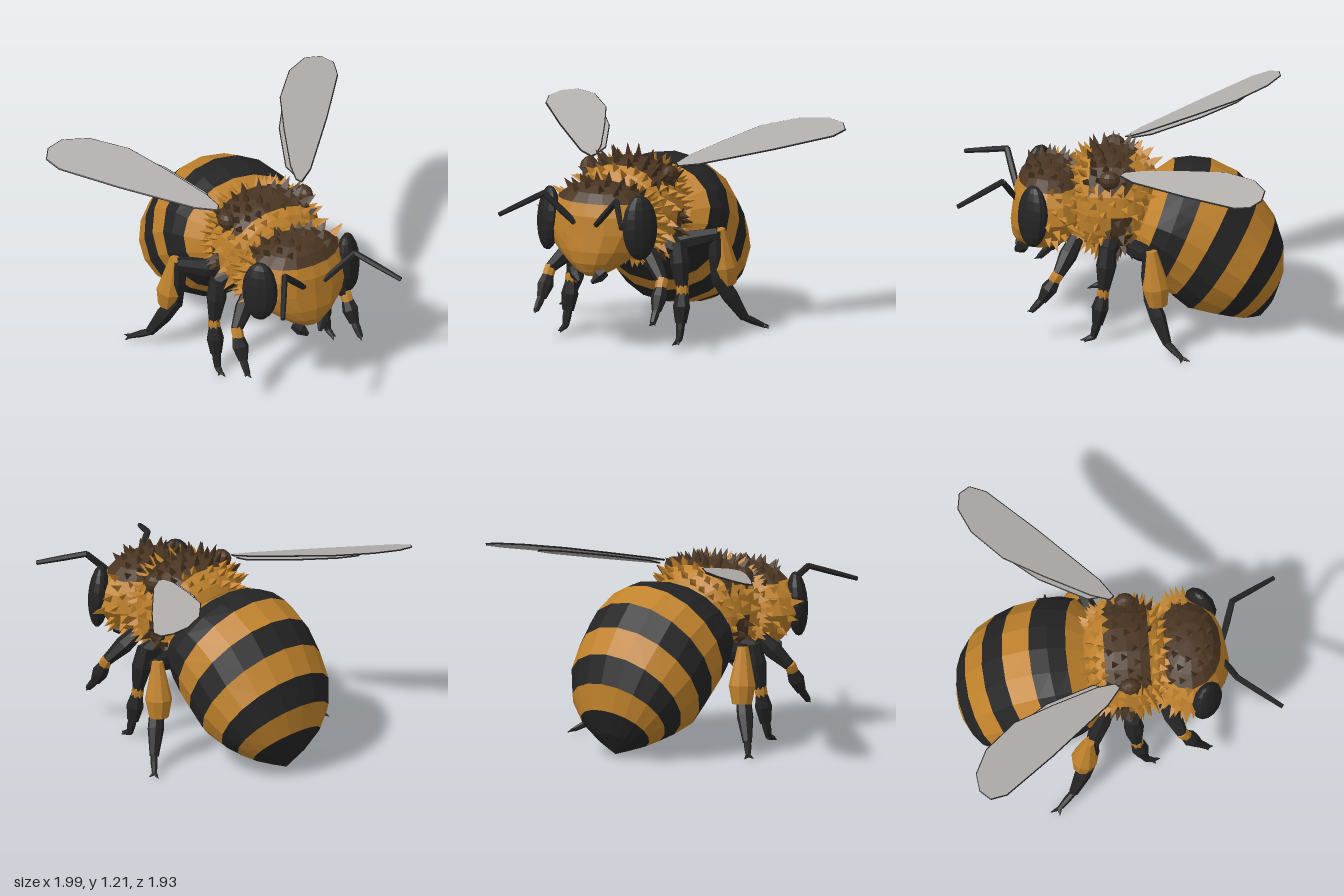
import * as THREE from 'three';
import { mergeGeometries } from 'three/addons/utils/BufferGeometryUtils.js';

const V = (x, y, z) => new THREE.Vector3(x, y, z);
const paint = (name, color) => {
  const m = new THREE.MeshStandardMaterial({ color, flatShading: true });
  m.name = name;
  return m;
};

export function createModel() {
  const gold = paint('gold', 0xc0822c);
  const black = paint('black', 0x242424);
  const brown = paint('brown', 0x4a3522);
  const grey = paint('wing grey', 0xb2aeac);
  const bee = new THREE.Group();
  bee.name = 'bee';

  const add = (name, geo, mat, parent = bee) => {
    const m = new THREE.Mesh(geo, mat);
    m.name = name;
    parent.add(m);
    return m;
  };
  const fromTriangles = (points) => {
    const g = new THREE.BufferGeometry().setFromPoints(points);
    g.computeVertexNormals();
    return g;
  };

  // Tapered limb from a to b: radii at start, bulge and end
  const limb = (a, b, r0, rm, r1, sides = 7, bulge = 0.45) => {
    const len = a.distanceTo(b);
    const pts = [[0, 0], [r0, 0], [rm, bulge], [r1, 1], [0, 1]].map(([r, t]) => new THREE.Vector2(r, t * len));
    const g = new THREE.LatheGeometry(pts, sides);
    g.applyQuaternion(new THREE.Quaternion().setFromUnitVectors(V(0, 1, 0), b.clone().sub(a).normalize()));
    return g.translate(a.x, a.y, a.z);
  };

  // Abdomen: tilted rings [top z, top y, bottom z, bottom y, half width]
  const rings = [
    [-0.12, 0.74, -0.06, 0.56, 0.12],
    [-0.20, 0.92, -0.07, 0.50, 0.31],
    [-0.31, 0.99, -0.11, 0.43, 0.40],
    [-0.42, 1.01, -0.165, 0.35, 0.43],
    [-0.53, 1.00, -0.22, 0.27, 0.44],
    [-0.69, 0.92, -0.29, 0.195, 0.44],
    [-0.81, 0.79, -0.39, 0.11, 0.43],
    [-0.91, 0.64, -0.54, 0.075, 0.395],
    [-0.962, 0.47, -0.63, 0.06, 0.33],
    [-0.96, 0.31, -0.70, 0.045, 0.24],
    [-0.91, 0.16, -0.77, 0.035, 0.12],
    [-0.825, 0.025, -0.825, 0.025, 0],
  ];
  const ringPoint = ([tz, ty, bz, by, w], k, n) => {
    const t = (k / n) * Math.PI * 2, c = Math.cos(t) / 2;
    return V(Math.sin(t) * w, (ty + by) / 2 + c * (ty - by), (tz + bz) / 2 + c * (tz - bz));
  };
  const band = (from, to) => {
    const pts = [], n = 18;
    for (let i = from; i < to; i++) for (let k = 0; k < n; k++) {
      const a = ringPoint(rings[i], k, n), b = ringPoint(rings[i], k + 1, n);
      const c = ringPoint(rings[i + 1], k, n), d = ringPoint(rings[i + 1], k + 1, n);
      pts.push(a, b, c, b, d, c);
    }
    return fromTriangles(pts);
  };
  const abdomen = new THREE.Group();
  abdomen.name = 'abdomen';
  bee.add(abdomen);
  [0, 2, 4, 5, 6, 7, 8, 9, 11].forEach((from, i, list) => {
    if (i < list.length - 1) add('abdomenStripe', band(from, list[i + 1]), i % 2 ? black : gold, abdomen);
  });

  // Round bodies: a direction is mapped to a surface point, faces are coloured by position
  const boxy = (v) => Math.sign(v) * Math.abs(v) ** 0.83;
  const headPoint = (d) => {
    const low = Math.max(0, -d.y), high = Math.max(0, d.y);
    const width = (0.365 - 0.09 * Math.max(0, d.z)) * (1 - 0.62 * low - 0.15 * high);
    return V(boxy(d.x) * width, 0.73 + boxy(d.y) * 0.28, 0.43 + boxy(d.z) * 0.222 + 0.07 * low);
  };
  const thoraxPoint = (d) => V(boxy(d.x) * 0.32, 0.78 + boxy(d.y) * 0.305, 0.05 + boxy(d.z) * 0.27);
  const headBrown = (p) => p.y > 0.91 && Math.abs(p.x) < 0.26;
  const thoraxBrown = (p) => (p.y > 0.95 && p.z > -0.07 && p.z < 0.2) || (p.y < 0.78 && Math.abs(p.z) < 0.065);

  const roundBody = (name, surface, isBrown, wide, high, alongZ) => {
    const base = new THREE.SphereGeometry(1, wide, high);
    if (alongZ) base.rotateX(Math.PI / 2);
    const pos = base.toNonIndexed().attributes.position;
    const parts = [[], []];
    for (let i = 0; i < pos.count; i += 3) {
      const tri = [0, 1, 2].map((k) => surface(V().fromBufferAttribute(pos, i + k)));
      const mid = tri[0].clone().add(tri[1]).add(tri[2]).divideScalar(3);
      parts[isBrown(mid) ? 1 : 0].push(...tri);
    }
    add(name, fromTriangles(parts[0]), gold);
    add(name + 'Patch', fromTriangles(parts[1]), brown);
  };
  roundBody('head', headPoint, headBrown, 16, 10, false);
  roundBody('thorax', thoraxPoint, thoraxBrown, 18, 14, true);

  // Spiky fur spread evenly over a surface
  const fur = (name, surface, isBrown, count, size, keep) => {
    const sets = [[], []];
    for (let i = 0; i < count; i++) {
      const y = 1 - (2 * i + 1) / count, r = Math.sqrt(1 - y * y), t = i * 2.39996;
      const d = V(r * Math.cos(t), y, r * Math.sin(t));
      const p = surface(d);
      if (!keep(p)) continue;
      const h = size * (0.85 + 0.3 * ((i * 7) % 5) / 4);
      const g = new THREE.ConeGeometry(0.027, h, 3, 1, true);
      g.translate(0, h * 0.42, 0);
      g.applyQuaternion(new THREE.Quaternion().setFromUnitVectors(V(0, 1, 0), d));
      sets[isBrown(p) ? 1 : 0].push(g.translate(p.x, p.y, p.z));
    }
    sets.forEach((s, i) => s.length && add(name, mergeGeometries(s), i ? brown : gold));
  };
  fur('thoraxFur', thoraxPoint, thoraxBrown, 230, 0.07, (p) => p.z > -0.18);
  fur('headSideFur', headPoint, headBrown, 180, 0.085, (p) => p.z < 0.43 && p.y > 0.55 && !headBrown(p));
  fur('headTopFur', headPoint, headBrown, 180, 0.055, (p) => headBrown(p) && (p.z < 0.42 || p.y > 0.96));

  // Wing plate with a dark rim, from a plan outline of [x, z], tilted up towards the back
  const wing = (outline, s, drop) => {
    const shape = new THREE.Shape(outline.map(([x, z]) => new THREE.Vector2(x * s, -z)));
    const g = new THREE.ExtrudeGeometry(shape, {
      depth: 0.004, bevelThickness: 0.003, bevelSize: 0.006, bevelOffset: -0.006, bevelSegments: 1,
    });
    g.rotateX(-Math.PI / 2);
    const p = g.attributes.position;
    for (let i = 0; i < p.count; i++) {
      const x = Math.abs(p.getX(i)), z = p.getZ(i);
      p.setY(i, p.getY(i) + 1.04 - drop - 0.125 * (x - 0.29) - 0.266 * z);
    }
    g.computeVertexNormals();
    return g;
  };
  const foreWing = [[0.29, 0], [0.40, -0.08], [0.72, -0.43], [0.965, -0.72], [0.995, -0.82], [0.945, -0.885],
    [0.84, -0.90], [0.69, -0.83], [0.52, -0.65], [0.41, -0.42], [0.29, -0.14], [0.265, -0.03]];
  const hindWing = [[0.30, -0.03], [0.54, -0.31], [0.71, -0.55], [0.73, -0.66], [0.67, -0.72],
    [0.55, -0.66], [0.395, -0.45], [0.27, -0.16]];

  for (const s of [1, -1]) {
    const side = new THREE.Group();
    side.name = s > 0 ? 'leftSide' : 'rightSide';
    bee.add(side);
    const P = (x, y, z) => V(x * s, y, z);
    const part = (name, mat, a, b, r0, rm, r1, sides, bulge) =>
      add(name, limb(P(...a), P(...b), r0, rm, r1, sides, bulge), mat, side);

    add('foreWing', wing(foreWing, s, 0), [grey, black], side);
    add('hindWing', wing(hindWing, s, 0.02), [grey, black], side);
    const knob = add('wingRoot', new THREE.SphereGeometry(1, 10, 6), brown, side);
    knob.scale.set(0.05, 0.055, 0.065);
    knob.position.copy(P(0.27, 1.005, 0.06));

    // Eye, antenna and jaw
    const eye = add('eye', new THREE.SphereGeometry(1, 12, 10), black, side);
    eye.scale.set(0.065, 0.195, 0.11);
    eye.position.copy(P(0.305, 0.775, 0.515));
    eye.rotation.set(0, -s * 0.75, s * 0.06);
    part('antennaBase', black, [0.07, 0.79, 0.63], [0.245, 0.97, 0.70], 0.018, 0.021, 0.019, 6);
    part('antennaTip', black, [0.24, 0.97, 0.695], [0.408, 0.872, 0.958], 0.018, 0.018, 0.014, 6);
    part('jaw', black, [0.105, 0.50, 0.575], [0.04, 0.435, 0.63], 0.032, 0.04, 0.012, 6);

    const claws = (x, y, z, dx, dz) => [-1, 1].forEach((k) =>
      part('claw', black, [x, y, z], [x + dx - k * dz * 0.5, y - 0.015, z + dz + k * dx * 0.5 + k * 0.012],
        0.013, 0.01, 0.002, 5));

    // Front leg
    part('frontThigh', black, [0.22, 0.60, 0.26], [0.375, 0.43, 0.36], 0.045, 0.056, 0.035);
    part('frontKnee', gold, [0.375, 0.44, 0.355], [0.378, 0.385, 0.388], 0.035, 0.037, 0.035);
    part('frontShin', black, [0.378, 0.395, 0.38], [0.385, 0.265, 0.455], 0.034, 0.05, 0.03);
    part('frontFoot', black, [0.385, 0.28, 0.445], [0.39, 0.20, 0.515], 0.024, 0.024, 0.018);
    claws(0.39, 0.205, 0.505, 0.005, 0.025);

    // Middle leg
    part('middleHip', black, [0.20, 0.60, 0.06], [0.34, 0.56, 0.07], 0.06, 0.065, 0.05);
    part('middleThigh', black, [0.33, 0.60, 0.065], [0.37, 0.33, 0.09], 0.05, 0.062, 0.035);
    part('middleKnee', gold, [0.37, 0.345, 0.09], [0.372, 0.285, 0.096], 0.036, 0.038, 0.036);
    part('middleShin', black, [0.372, 0.30, 0.095], [0.378, 0.12, 0.125], 0.035, 0.053, 0.035);
    part('middleAnkle', black, [0.378, 0.13, 0.125], [0.382, 0.03, 0.15], 0.027, 0.027, 0.02);
    part('middleFoot', black, [0.382, 0.035, 0.145], [0.385, 0.017, 0.195], 0.019, 0.019, 0.013);
    claws(0.385, 0.022, 0.185, 0.004, 0.03);

    // Hind leg with its pollen basket
    part('hindThigh', black, [0.18, 0.54, -0.06], [0.47, 0.61, -0.18], 0.05, 0.062, 0.042);
    part('hindShin', black, [0.455, 0.63, -0.18], [0.465, 0.31, -0.20], 0.035, 0.055, 0.045);
    part('pollenBasket', gold, [0.47, 0.64, -0.20], [0.495, 0.30, -0.24], 0.033, 0.082, 0.06, 9, 0.68);
    part('hindAnkle', black, [0.465, 0.34, -0.19], [0.585, 0.09, -0.30], 0.045, 0.05, 0.028);
    part('hindFoot', black, [0.58, 0.095, -0.295], [0.667, 0.03, -0.395], 0.022, 0.022, 0.014);
    claws(0.66, 0.034, -0.39, 0.03, -0.025);
  }
  return bee;
}
